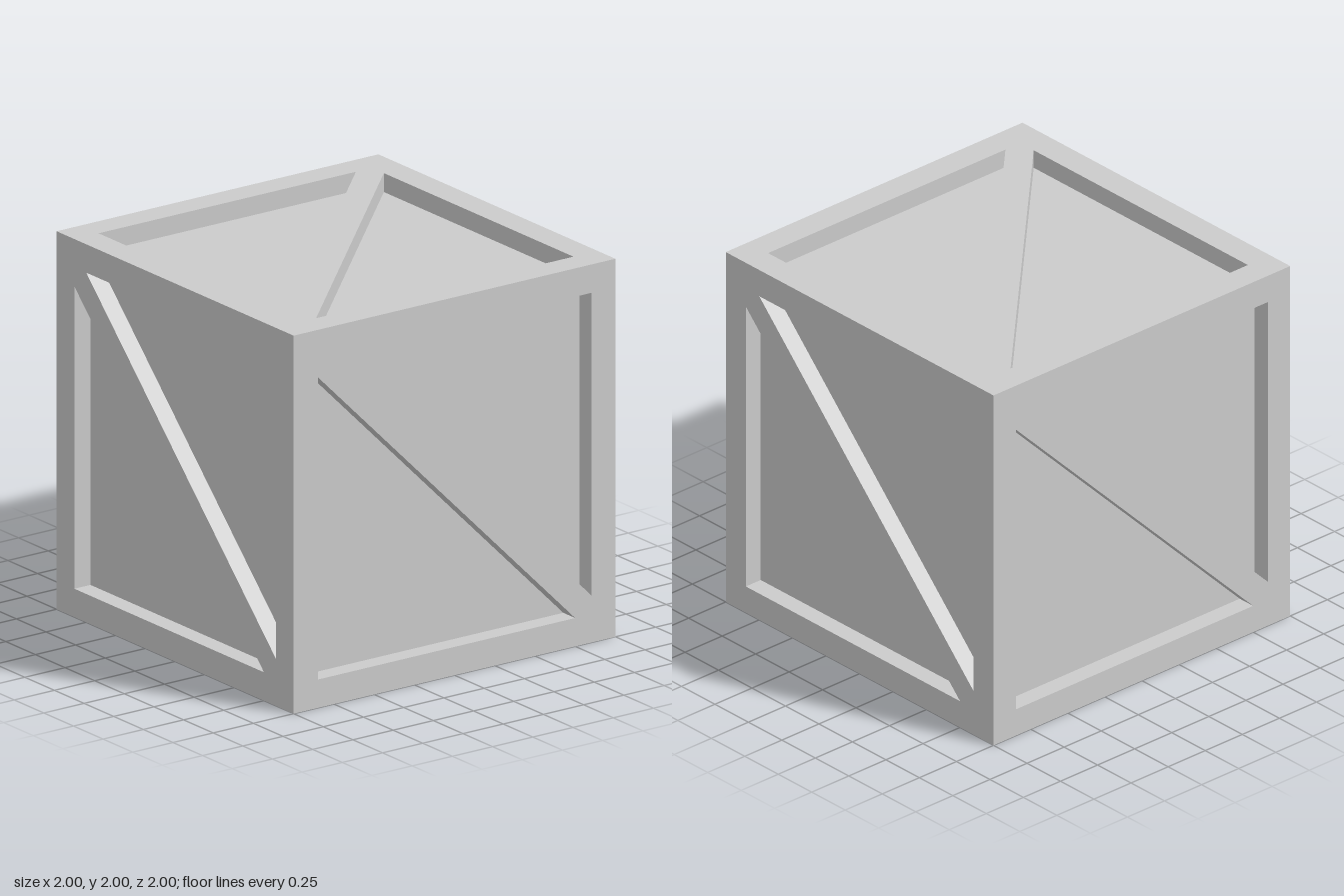
import * as THREE from 'three';

const HALF = 1;       // half the crate's edge
const DEPTH = 0.1;    // recess depth
const RIM = 0.85;     // inner edge of the border
const BRACE = 0.1;    // offset of the brace's edges from the diagonal

const loop = (pts) => pts.map(([x, y]) => new THREE.Vector2(x, y));

// Square frame with a diagonal brace (top left to bottom right), mitred at the edges
function frameGeometry() {
  const shape = new THREE.Shape(loop([[-HALF, -HALF], [HALF, -HALF], [HALF, HALF], [-HALF, HALF]]));
  const tip = RIM - BRACE;
  for (const s of [1, -1]) {
    shape.holes.push(new THREE.Path(loop([[s * RIM, s * RIM], [s * RIM, -s * tip], [-s * tip, s * RIM]])));
  }
  const geometry = new THREE.ExtrudeGeometry(shape, { depth: DEPTH, bevelEnabled: false });
  geometry.translate(0, 0, HALF - DEPTH);

  // Pull the back outline inward so neighbouring frames meet at 45 degrees
  const p = geometry.attributes.position;
  for (let i = 0; i < p.count; i++) {
    const outer = Math.max(Math.abs(p.getX(i)), Math.abs(p.getY(i))) > HALF - 0.01;
    if (outer && p.getZ(i) < HALF - 0.01) {
      p.setX(i, p.getX(i) * (HALF - DEPTH));
      p.setY(i, p.getY(i) * (HALF - DEPTH));
    }
  }
  geometry.computeVertexNormals();
  return geometry;
}

export function createModel() {
  const crate = new THREE.Group();
  crate.name = 'crate';
  const material = new THREE.MeshStandardMaterial({ color: 0xcccccc, flatShading: true });

  // Inner box: its faces are the recessed panels
  const size = 2 * (HALF - DEPTH);
  const panels = new THREE.Mesh(new THREE.BoxGeometry(size, size, size), material);
  panels.name = 'recessedPanels';
  panels.position.y = HALF;
  crate.add(panels);

  // One braced frame per side: [name, tilt about x, turn about y]
  const q = Math.PI / 2;
  const sides = [
    ['frontFrame', 0, 0], ['leftFrame', 0, q], ['backFrame', 0, 2 * q], ['rightFrame', 0, -q],
    ['topFrame', -q, q], ['bottomFrame', q, q],
  ];
  const geometry = frameGeometry();
  for (const [name, tilt, turn] of sides) {
    const frame = new THREE.Mesh(geometry, material);
    frame.name = name;
    frame.rotation.set(tilt, turn, 0, 'YXZ');
    frame.position.y = HALF;
    crate.add(frame);
  }
  return crate;
}
